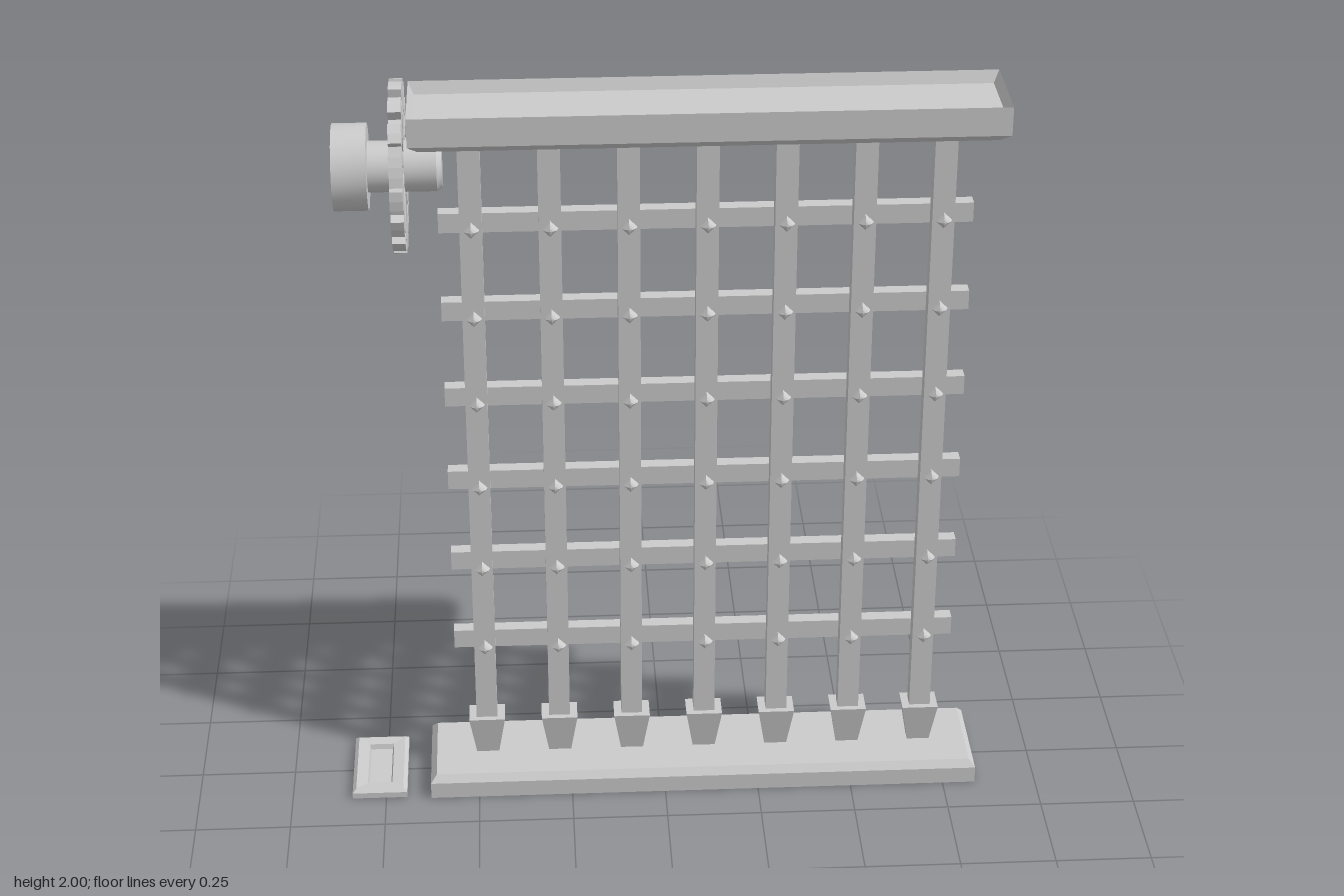
import * as THREE from 'three';
import { toCreasedNormals } from 'three/addons/utils/BufferGeometryUtils.js';

const mat = new THREE.MeshStandardMaterial({ color: 0xcccccc });
const flat = new THREE.MeshStandardMaterial({ color: 0xcccccc, flatShading: true });

function add(parent, name, geo, x = 0, y = 0, z = 0, material = flat) {
  const m = new THREE.Mesh(geo, material);
  m.name = name;
  m.position.set(x, y, z);
  parent.add(m);
  return m;
}

// Rectangular loft: profile of [inset, y] run from top centre, outward, down and back in.
function rectLoft(hx, hz, profile) {
  const corners = [[1, 1], [1, -1], [-1, -1], [-1, 1]];
  const pos = [];
  const pt = ([inset, y], [sx, sz]) => [sx * (hx - inset), y, sz * (hz - inset)];
  for (let i = 0; i < profile.length - 1; i++) {
    for (let j = 0; j < 4; j++) {
      const k = corners[(j + 1) % 4];
      const a = pt(profile[i], corners[j]), b = pt(profile[i], k);
      const c = pt(profile[i + 1], corners[j]), d = pt(profile[i + 1], k);
      pos.push(...a, ...c, ...d, ...a, ...d, ...b);
    }
  }
  const g = new THREE.BufferGeometry();
  g.setAttribute('position', new THREE.Float32BufferAttribute(pos, 3));
  g.computeVertexNormals();
  return g;
}

// Spoked gear outline with tapered windows
function gearGeometry(teeth, spokes, depth) {
  const polar = (r, a) => new THREE.Vector2(r * Math.cos(a), r * Math.sin(a));
  const pts = [];
  const step = (Math.PI * 2) / teeth;
  for (let i = 0; i < teeth; i++) {
    const a = Math.PI / 2 + i * step;
    pts.push(polar(0.183, a - step * 0.3), polar(0.212, a - step * 0.3),
      polar(0.2125, a), polar(0.212, a + step * 0.3), polar(0.183, a + step * 0.3));
  }
  const shape = new THREE.Shape(pts);
  const s = (Math.PI * 2) / spokes;
  for (let i = 0; i < spokes; i++) {
    const a = (i + 0.5) * s;
    shape.holes.push(new THREE.Path([
      polar(0.075, a - s * 0.2), polar(0.075, a + s * 0.2),
      polar(0.143, a + s * 0.31), polar(0.143, a - s * 0.31)]));
  }
  return new THREE.ExtrudeGeometry(shape, { depth, bevelEnabled: false }).rotateY(Math.PI / 2);
}

export function createModel() {
  const root = new THREE.Group();
  root.name = 'portcullis';
  const midX = 0.11;

  // Bevelled sill, hollow underneath
  add(root, 'sill', rectLoft(0.733, 0.138, [[0.138, 0.065], [0.016, 0.065], [0, 0.046],
    [0, 0], [0.02, 0], [0.025, 0.035], [0.138, 0.035]]), 0.104);

  // Lintel with a recessed top and chamfered underside
  add(root, 'lintel', rectLoft(0.728, 0.12, [[0.12, 1.93], [0.014, 1.93], [0, 1.96],
    [0, 1.886], [0.024, 1.865], [0.12, 1.865]]), 0.109);

  // Small slotted floor plate under the winch
  add(root, 'floorPlate', rectLoft(0.073, 0.13, [[0.073, 0.008], [0.044, 0.008], [0.04, 0.022],
    [0.01, 0.025], [0, 0.016], [0, 0], [0.014, 0], [0.018, 0.006], [0.073, 0.006]]), -0.767);

  // Grate: upright bars with spear points, cross bars behind, studs in front
  const grate = new THREE.Group();
  grate.name = 'grate';
  root.add(grate);
  const bar = new THREE.BoxGeometry(0.056, 1.705, 0.042);
  const rail = new THREE.BoxGeometry(1.332, 0.052, 0.036);
  const stud = new THREE.SphereGeometry(0.021, 4, 4, 0, Math.PI * 2, 0, Math.PI / 2).rotateX(Math.PI / 2);
  const spear = rectLoft(0.048, 0.037, [[0.037, 0.178], [0, 0.178], [0.018, 0.065],
    [0.034, 0.006], [0.037, 0.006]]);
  const railY = Array.from({ length: 6 }, (_, i) => 0.402 + i * 0.2438);

  for (const y of railY) add(grate, 'crossBar', rail, midX, y, -0.038);
  for (let i = -3; i <= 3; i++) {
    const x = midX + i * 0.195;
    add(grate, 'uprightBar', bar, x, 1.0225, 0);
    add(grate, 'spearPoint', spear, x);
    for (const y of railY) add(grate, 'stud', stud, x, y, 0.021);
  }

  // Winch: spoked gear on a stepped shaft with an open drum at the outer end
  const winch = new THREE.Group();
  winch.name = 'winch';
  winch.position.y = 1.7875;
  root.add(winch);
  add(winch, 'gear', gearGeometry(16, 12, 0.032), -0.662);
  const profile = [[0, 0.54], [0.053, 0.54], [0.063, 0.552], [0.063, 0.72], [0.107, 0.72],
    [0.107, 0.805], [0.096, 0.805], [0.09, 0.735], [0, 0.735]].map(p => new THREE.Vector2(...p));
  const shaft = toCreasedNormals(new THREE.LatheGeometry(profile, 28).rotateZ(Math.PI / 2), 0.5);
  add(winch, 'shaftAndDrum', shaft, 0, 0, 0, mat);

  return root;
}
